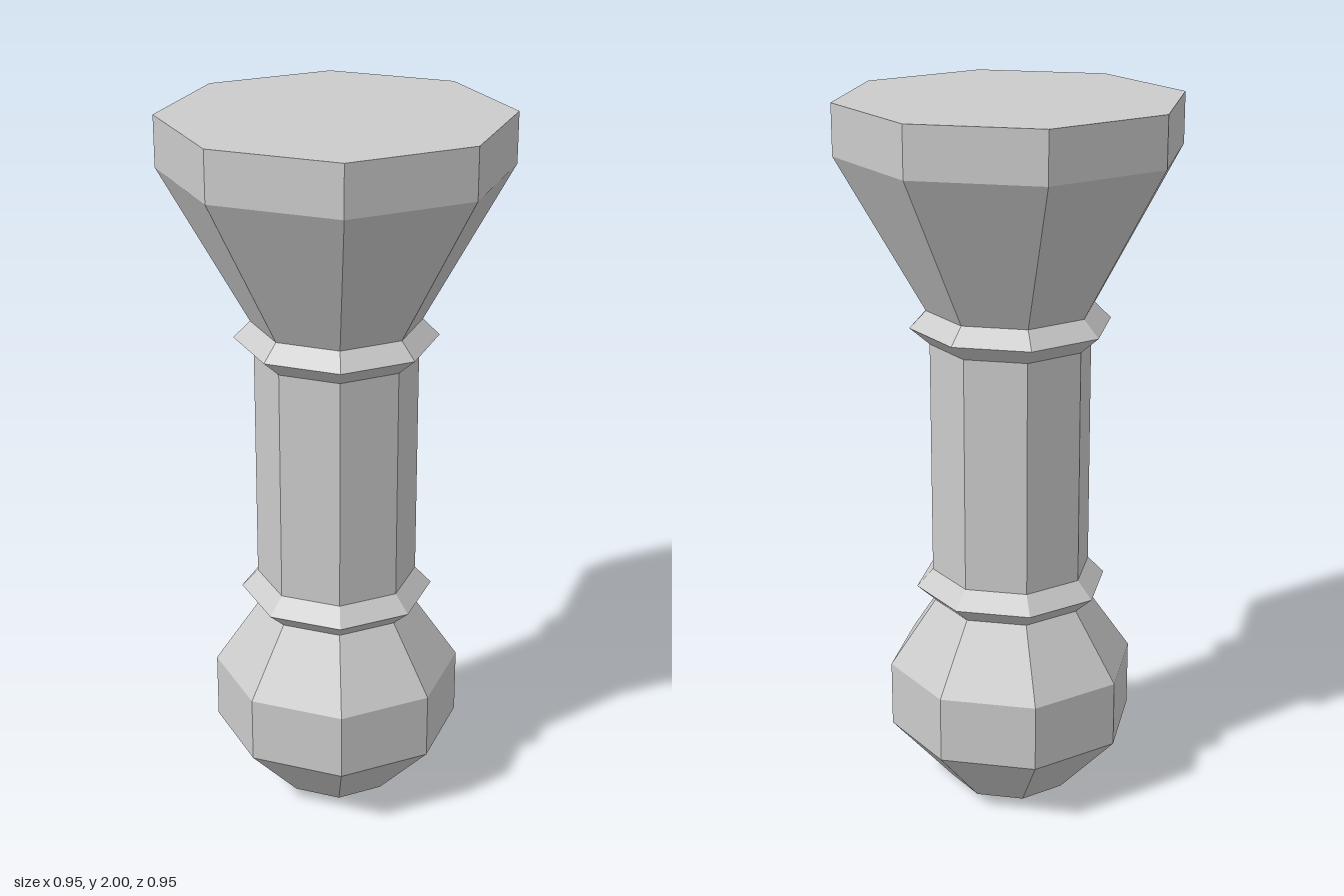
import * as THREE from 'three';

const SIDES = 8;

// Stacked profiles [radius, height], bottom to top; neighbours share their joint ring.
const PARTS = {
  bulb: [[0, 0], [0.175, 0], [0.351, 0.193], [0.351, 0.382], [0.22, 0.574]],
  lowerRing: [[0.22, 0.574], [0.272, 0.621], [0.226, 0.67]],
  shaft: [[0.226, 0.67], [0.226, 1.336]],
  upperRing: [[0.226, 1.336], [0.281, 1.384], [0.235, 1.431]],
  flaredHead: [[0.235, 1.431], [0.475, 1.86], [0.475, 2], [0, 2]],
};

export function createModel() {
  const model = new THREE.Group();
  model.name = 'turnedPost';
  const material = new THREE.MeshStandardMaterial({ color: 0xcccccc, flatShading: true });

  // Each part is an eight-sided turning with corners on the x and z axes.
  for (const [name, profile] of Object.entries(PARTS)) {
    const points = profile.map(([r, y]) => new THREE.Vector2(r, y));
    const mesh = new THREE.Mesh(new THREE.LatheGeometry(points, SIDES), material);
    mesh.name = name;
    model.add(mesh);
  }
  return model;
}
